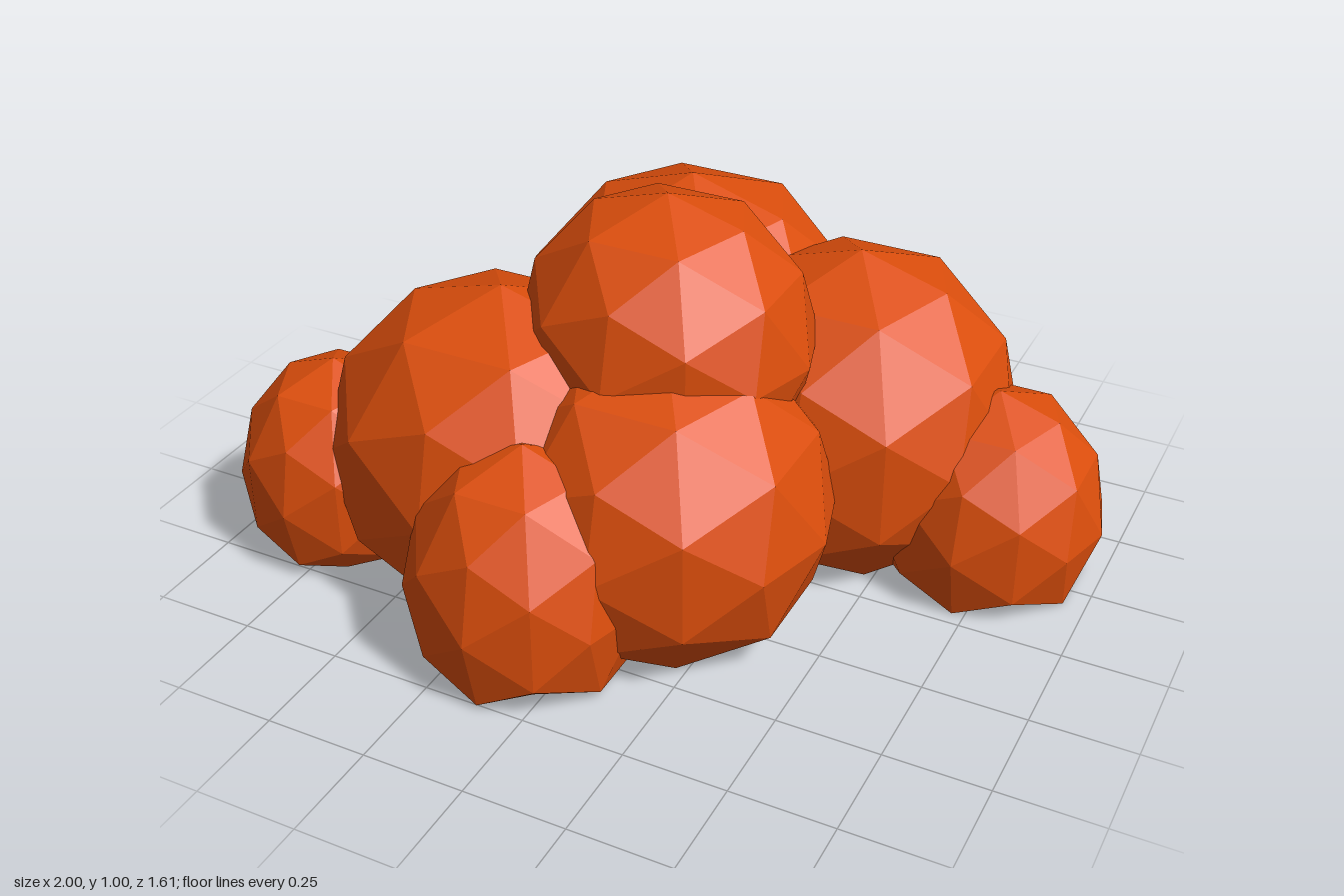
import * as THREE from 'three';

// One faceted clump of leaves; everything under the ground is pressed flat onto it
function clump(name, [x, y, z], [rx, ry, rz], material) {
  const geometry = new THREE.IcosahedronGeometry(1, 1);
  geometry.scale(rx, ry, rz).translate(x, y, z);
  const p = geometry.attributes.position;
  for (let i = 0; i < p.count; i++) p.setY(i, Math.max(0, p.getY(i)));
  geometry.computeVertexNormals();
  const mesh = new THREE.Mesh(geometry, material);
  mesh.name = name;
  return mesh;
}

export function createModel() {
  const bush = new THREE.Group();
  bush.name = 'bush';
  const foliage = new THREE.MeshStandardMaterial({ color: 0xdc4e0c, flatShading: true });

  // name, centre, radii
  const clumps = [
    ['backClump', [-0.12, 0.35, -0.345], [0.46, 0.5, 0.455]],
    ['backLeftClump', [0.35, 0.33, -0.29], [0.41, 0.44, 0.405]],
    ['smallLeftClump', [0.72, 0.165, -0.275], [0.28, 0.325, 0.28]],
    ['topClump', [0.02, 0.64, 0.07], [0.355, 0.36, 0.335]],
    ['frontRightClump', [-0.32, 0.33, 0.24], [0.45, 0.44, 0.4]],
    ['frontLeftClump', [0.1, 0.31, 0.24], [0.4, 0.41, 0.395]],
    ['smallFrontClump', [-0.11, 0.2, 0.52], [0.285, 0.36, 0.285]],
    ['smallRightClump', [-0.75, 0.2, 0.325], [0.25, 0.31, 0.25]],
  ];
  for (const c of clumps) bush.add(clump(...c, foliage));
  return bush;
}
